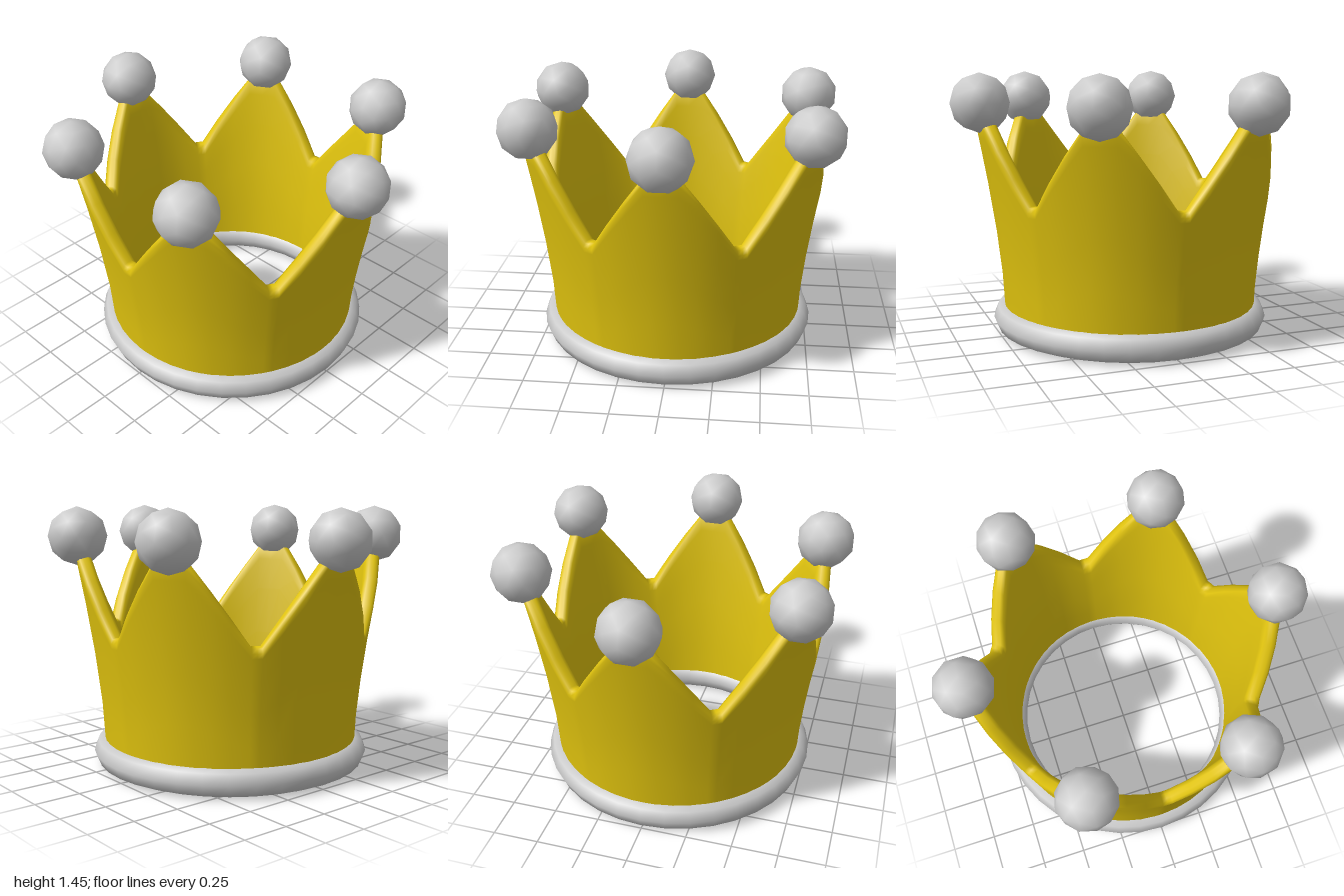
import * as THREE from 'three';

const POINTS = 6;
const SECTOR = (Math.PI * 2) / POINTS;

// Height of the wall's rim, by angle away from the nearest peak
const rimHeight = (d) => THREE.MathUtils.mapLinear(THREE.MathUtils.clamp(Math.abs(d), 0.1, 0.489), 0.1, 0.489, 1.19, 0.775);

// Outer radius flares with height
const wallRadius = (y) => 0.71 + 0.13 * Math.pow(Math.max(y - 0.1, 0), 1.5);

// Closed toothed band: outer face, rounded rim, inner face
function wallGeometry() {
  const offsets = [-SECTOR / 2, -0.489, -0.36, -0.23, -0.1, 0, 0.1, 0.23, 0.36, 0.489];
  const steps = [0, 0.25, 0.5, 0.75, 0.92];
  const base = 0.08;
  const positions = [];
  const index = [];
  let rows = 0;
  for (let p = 0; p < POINTS; p++) {
    for (const d of offsets) {
      const angle = p * SECTOR + d;
      const top = rimHeight(d);
      const section = [];
      const add = (y, inset) => section.push([wallRadius(y) - inset, y]);
      steps.forEach((t) => add(base + (top - base) * t, 0));
      add(top - 0.03, 0);
      add(top - 0.006, 0.014);
      add(top, 0.035);
      add(top, 0.06);
      add(top - 0.015, 0.078);
      [...steps].reverse().forEach((t) => add(base + (top - base) * t, 0.074 + 0.008 * t));
      for (const [r, y] of section) positions.push(r * Math.sin(angle), y, r * Math.cos(angle));
      rows = section.length;
    }
  }
  const columns = POINTS * offsets.length;
  for (let i = 0; i < columns; i++) {
    const a = i * rows;
    const b = ((i + 1) % columns) * rows;
    for (let j = 0; j < rows - 1; j++) {
      index.push(a + j, b + j, b + j + 1, a + j, b + j + 1, a + j + 1);
    }
  }
  const geometry = new THREE.BufferGeometry();
  geometry.setAttribute('position', new THREE.Float32BufferAttribute(positions, 3));
  geometry.setIndex(index);
  geometry.computeVertexNormals();
  return geometry;
}

export function createModel() {
  const crown = new THREE.Group();
  crown.name = 'crown';
  const grey = new THREE.MeshStandardMaterial({ color: 0xcccccc });
  const gold = new THREE.MeshStandardMaterial({ color: 0xe0c30e });

  const add = (name, geometry, material) => {
    const mesh = new THREE.Mesh(geometry, material);
    mesh.name = name;
    crown.add(mesh);
    return mesh;
  };

  // Flared wall with six peaks
  add('wall', wallGeometry(), gold);

  // Rounded ring around the foot
  const ring = add('baseRing', new THREE.TorusGeometry(0.695, 0.081, 8, 36), grey);
  ring.rotation.x = Math.PI / 2;
  ring.position.y = 0.081;

  // One ball on each peak
  const ballGeometry = new THREE.IcosahedronGeometry(0.16, 1);
  for (let p = 0; p < POINTS; p++) {
    const angle = p * SECTOR;
    const ball = add('peakBall', ballGeometry, grey);
    ball.position.set(0.84 * Math.sin(angle), 1.285, 0.84 * Math.cos(angle));
    ball.rotation.y = angle;
  }
  return crown;
}
